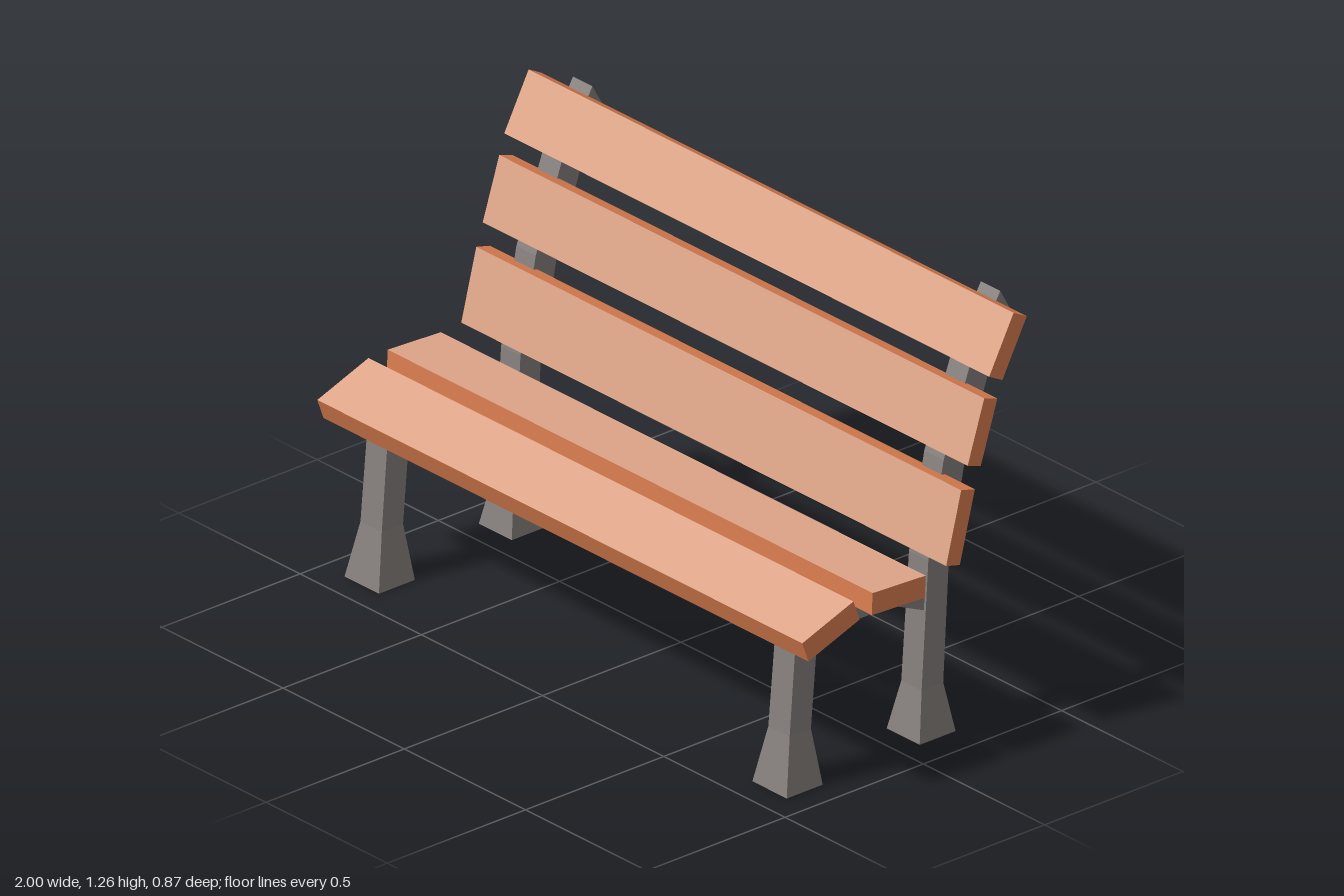
import * as THREE from 'three';

const metal = new THREE.MeshStandardMaterial({ color: 0x86807d });
metal.name = 'grey iron';
const plankFace = new THREE.MeshStandardMaterial({ color: 0xdea588 });
plankFace.name = 'pale wood face';
const plankEdge = new THREE.MeshStandardMaterial({ color: 0xdb7e50 });
plankEdge.name = 'orange wood edge';

// Four-sided bar through sections [zFront, yFront, zBack, yBack, halfWidth]
function loft(sections) {
  const pos = [];
  const index = [];
  for (const [zf, yf, zb, yb, w] of sections) {
    pos.push(w, yf, zf, -w, yf, zf, -w, yb, zb, w, yb, zb);
  }
  for (let i = 0; i < sections.length - 1; i++) {
    for (let j = 0; j < 4; j++) {
      const a = i * 4 + j;
      const b = i * 4 + ((j + 1) % 4);
      index.push(b, a, a + 4, b, a + 4, b + 4);
    }
  }
  const t = (sections.length - 1) * 4;
  index.push(0, 1, 2, 0, 2, 3, t, t + 2, t + 1, t, t + 3, t + 2);
  const indexed = new THREE.BufferGeometry();
  indexed.setAttribute('position', new THREE.Float32BufferAttribute(pos, 3));
  indexed.setIndex(index);
  const g = indexed.toNonIndexed();
  g.computeVertexNormals();
  return g;
}

export function createModel() {
  const bench = new THREE.Group();
  bench.name = 'bench';

  const add = (name, geometry, material, x, y = 0, z = 0) => {
    const mesh = new THREE.Mesh(geometry, material);
    mesh.name = name;
    mesh.position.set(x, y, z);
    bench.add(mesh);
    return mesh;
  };

  // Front leg with a flared foot
  const frontLeg = loft([
    [0.42, 0, 0.29, 0, 0.071],
    [0.386, 0.166, 0.309, 0.166, 0.044],
    [0.361, 0.463, 0.279, 0.493, 0.042],
  ]);

  // Rear leg sweeping up into the back support
  const rearPost = loft([
    [-0.07, 0, -0.2, 0, 0.068],
    [-0.1, 0.145, -0.178, 0.145, 0.042],
    [-0.126, 0.53, -0.2, 0.507, 0.04],
    [-0.181, 0.815, -0.258, 0.79, 0.04],
    [-0.281, 1.085, -0.36, 1.075, 0.04],
    [-0.386, 1.262, -0.433, 1.178, 0.04],
  ]);

  // Arched bar under the seat, its ends buried in the legs
  const seatBar = loft([
    [0.289, 0.458, 0.294, 0.37, 0.032],
    [0.175, 0.508, 0.171, 0.429, 0.032],
    [-0.007, 0.508, 0, 0.431, 0.032],
    [-0.13, 0.456, -0.125, 0.376, 0.032],
  ]);

  for (const [side, label] of [[1, 'left'], [-1, 'right']]) {
    add(label + 'FrontLeg', frontLeg, metal, side * 0.841 + 0.004);
    add(label + 'RearPost', rearPost, metal, side * 0.841 - 0.004);
    add(label + 'SeatBar', seatBar, metal, side * 0.841 - 0.003);
  }

  // Planks: name, y, z, thickness, width, tilt
  const planks = [
    ['frontSeatPlank', 0.509, 0.334, 0.066, 0.197, 0.348],
    ['rearSeatPlank', 0.539, 0.089, 0.066, 0.192, -0.047],
    ['lowerBackPlank', 0.672, -0.1345, 0.051, 0.219, 1.32],
    ['middleBackPlank', 0.9355, -0.214, 0.05, 0.194, 1.257],
    ['upperBackPlank', 1.165, -0.306, 0.054, 0.187, 1.08],
  ];
  const plankColours = [plankEdge, plankEdge, plankFace, plankFace, plankEdge, plankEdge];
  for (const [name, y, z, thickness, width, tilt] of planks) {
    add(name, new THREE.BoxGeometry(2, thickness, width), plankColours, 0, y, z).rotation.x = tilt;
  }

  return bench;
}
